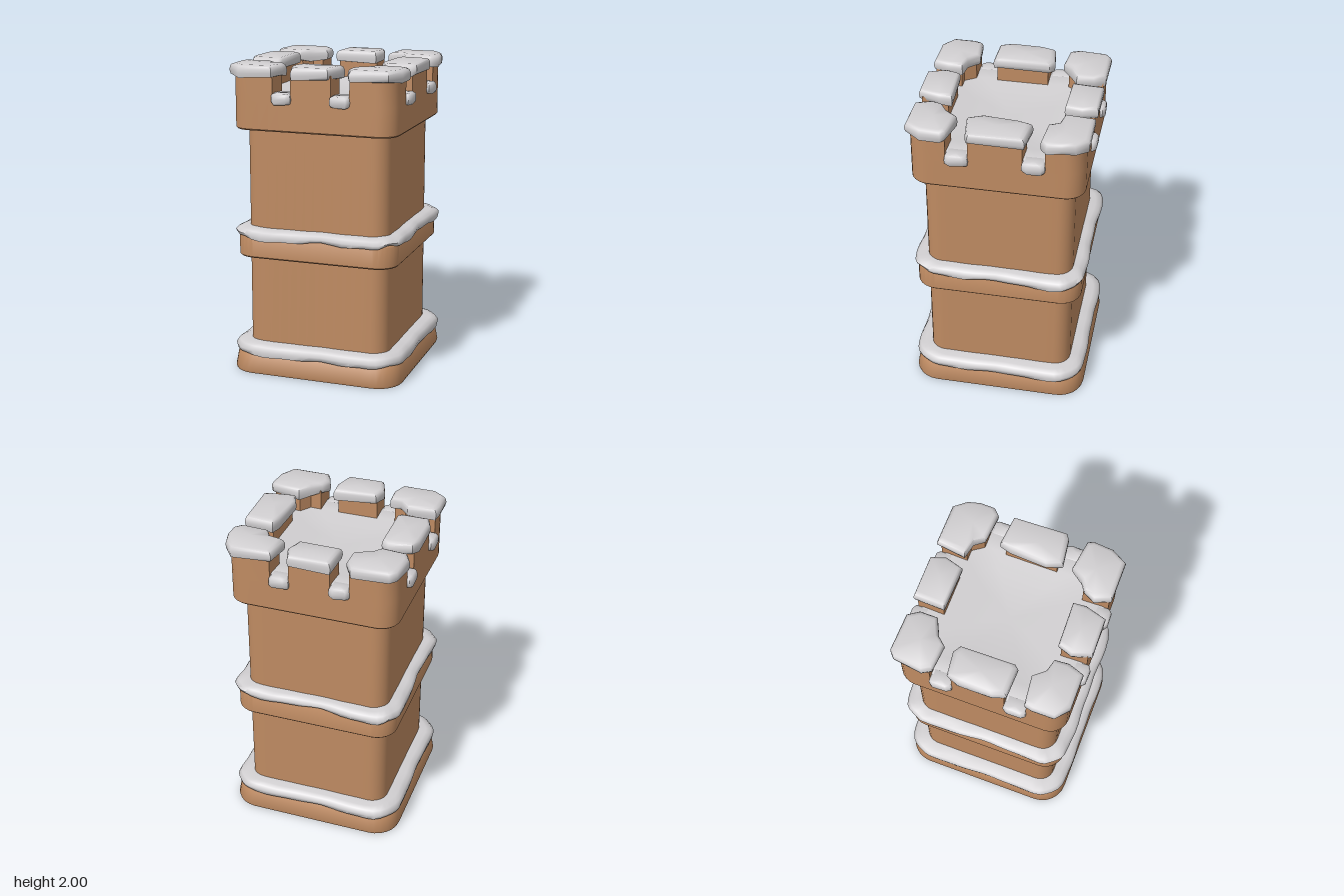
import * as THREE from 'three';
import { toCreasedNormals } from 'three/addons/utils/BufferGeometryUtils.js';

const stone = new THREE.MeshStandardMaterial({ color: 0xbf8b62 });
stone.name = 'brown stone';
const snow = new THREE.MeshStandardMaterial({ color: 0xd1cfd1 });
snow.name = 'grey snow';
const underside = new THREE.MeshStandardMaterial({ color: 0xacacac });
underside.name = 'grey underside';

// Skin a stack of equal-length rings of [x, y, z]; profiles run from below, outwards, then up and in.
function loft(rings, crease) {
  const n = rings[0].length, pos = [], idx = [];
  rings.forEach(r => r.forEach(p => pos.push(...p)));
  for (let j = 0; j < rings.length - 1; j++) {
    for (let i = 0; i < n; i++) {
      const a = j * n + i, b = j * n + (i + 1) % n;
      idx.push(a, a + n, b, b, a + n, b + n);
    }
  }
  const g = new THREE.BufferGeometry();
  g.setAttribute('position', new THREE.Float32BufferAttribute(pos, 3));
  g.setIndex(idx);
  return toCreasedNormals(g, crease);
}

// Horizontal rounded square with straight sides subdivided
function roundedSquare(h, r, y, wobble = () => [0, 0]) {
  const out = [], arc = 6, side = 12, c = h - r;
  for (let q = 0; q < 4; q++) {
    const spin = q * Math.PI / 2, cs = Math.cos(spin), sn = Math.sin(spin);
    const add = (x, z) => {
      const [dr, dy] = wobble(out.length);
      const s = h > 0 ? 1 + dr / h : 1;
      out.push([(x * cs - z * sn) * s, y + dy, (x * sn + z * cs) * s]);
    };
    for (let i = 0; i < side; i++) add(h, c * (-1 + 2 * i / side));
    for (let i = 0; i < arc; i++) {
      const a = i / arc * Math.PI / 2;
      add(c + r * Math.cos(a), c + r * Math.sin(a));
    }
  }
  return out;
}

// Rows are [half width, corner radius, y]
const squareLoft = (rows, crease = 0.6) => loft(rows.map(([h, r, y]) => roundedSquare(h, r, y)), crease);

// Uneven snow ledge around the tower
function snowLedge(bottom, top, half, r, rough) {
  const wave = (i, k) => Math.sin(i * 0.7 + k) * 0.5 + Math.sin(i * 1.57 + k * 2.3) * 0.35 + Math.sin(i * 0.262 + k) * 0.4;
  const rows = [
    [0.45, 0.1, bottom + 0.02, 0, 0],
    [half - 0.035, r, bottom + 0.005, 0.003, 0.008],
    [half - 0.006, r, bottom + 0.012, 0.006, 0.012],
    [half, r, (bottom + top) / 2, 0.006, 0.006],
    [half - 0.015, r, top - 0.014, 0.007, 0.004],
    [half - 0.045, r, top - 0.002, 0.006, 0.003],
    [0.45, 0.1, top, 0, 0.002],
  ];
  return loft(rows.map(([h, rad, y, a, b]) =>
    roundedSquare(h, rad, y, i => [a * rough * wave(i, 1), b * rough * wave(i, 4)])), 1.2);
}

// Soft snow lump from a flat outline of [x, z]; rows are [scale, y, sag]
function snowLump(outline, rows) {
  const n = outline.length;
  let area = 0, cx = 0, cz = 0;
  outline.forEach(([x, z], i) => {
    const [u, v] = outline[(i + 1) % n];
    area += x * v - u * z;
    cx += x / n;
    cz += z / n;
  });
  const pts = area > 0 ? outline : [...outline].reverse();
  return loft(rows.map(([s, y, sag]) => pts.map(([x, z], i) =>
    [cx + (x - cx) * s, y + sag * Math.sin(i * 2.1 + cx * 9 + cz * 5), cz + (z - cz) * s])), 0.95);
}

export function createModel() {
  const model = new THREE.Group();
  model.name = 'snowyTower';
  const add = (name, geometry, material) => {
    const m = new THREE.Mesh(geometry, material);
    m.name = name;
    model.add(m);
  };

  // Foot with a thin rim around a recessed underside
  add('base', squareLoft([
    [0.465, 0.1, 0.07], [0.54, 0.15, 0.045], [0.55, 0.155, 0], [0.562, 0.16, 0], [0.568, 0.17, 0.015],
    [0.55, 0.16, 0.12], [0.535, 0.15, 0.14], [0.45, 0.1, 0.14],
  ]), stone);
  add('underside', squareLoft([[0, 0, 0.07], [0.466, 0.1, 0.07]]), underside);

  // Shaft, middle band and crown
  add('shaft', squareLoft([[0.468, 0.1, 0.1], [0.468, 0.1, 1.6]]), stone);
  add('middleBand', squareLoft([
    [0.45, 0.1, 0.765], [0.522, 0.125, 0.765], [0.53, 0.13, 0.774], [0.53, 0.13, 0.905], [0.52, 0.12, 0.92], [0.45, 0.1, 0.92],
  ]), stone);
  add('crown', squareLoft([
    [0.45, 0.1, 1.588], [0.527, 0.115, 1.588], [0.535, 0.12, 1.597], [0.535, 0.12, 1.77], [0, 0, 1.77],
  ]), stone);

  // Merlons: four bent corners and four straight blocks
  const merlon = (name, points) => {
    const shape = new THREE.Shape(points.map(p => new THREE.Vector2(...p)));
    const g = new THREE.ExtrudeGeometry(shape, { depth: 0.18, bevelEnabled: false });
    g.rotateX(-Math.PI / 2).translate(0, 1.77, 0);
    add(name, toCreasedNormals(g, 0.6), stone);
  };
  const corner = [[0.25, 0.37], [0.32, 0.37], [0.37, 0.3], [0.535, 0.3]];
  for (let i = 0; i <= 6; i++) {
    const a = i / 6 * Math.PI / 2;
    corner.push([0.415 + 0.12 * Math.cos(a), 0.415 + 0.12 * Math.sin(a)]);
  }
  corner.push([0.25, 0.535]);
  const block = (x0, x1, z0, z1) => [[x0, z0], [x1, z0], [x1, z1], [x0, z1]];
  for (const sx of [-1, 1]) {
    for (const sz of [-1, 1]) merlon('cornerMerlon', corner.map(([x, z]) => [x * sx, z * sz]));
    merlon('sideMerlon', block(0.37 * sx, 0.535 * sx, -0.165, 0.165));
    merlon('endMerlon', block(-0.13, 0.13, 0.37 * sx, 0.535 * sx));
  }

  // Snow on the ledges and on the roof
  add('baseSnow', snowLedge(0.115, 0.197, 0.566, 0.17, 1), snow);
  add('bandSnow', snowLedge(0.888, 0.958, 0.55, 0.14, 1.6), snow);
  add('roofSnow', squareLoft([
    [0.52, 0.12, 1.772], [0.53, 0.12, 1.815], [0.5, 0.12, 1.829], [0.38, 0.12, 1.82], [0.28, 0.1, 1.803], [0, 0, 1.798],
  ], 1), snow);

  // Snow drooping over the edge in the eight gaps
  const gapRows = [[0, 1.772, 0], [0.85, 1.762, 0.004], [0.98, 1.772, 0.006], [1, 1.795, 0.004], [0.95, 1.818, 0.003], [0.75, 1.83, 0], [0, 1.834, 0]];
  const endGap = [[0.126, 0.46], [0.254, 0.46], [0.254, 0.545], [0.235, 0.565], [0.155, 0.568], [0.126, 0.55]];
  const sideGap = [[0.46, 0.161], [0.46, 0.304], [0.55, 0.304], [0.567, 0.28], [0.567, 0.19], [0.55, 0.161]];
  for (const sx of [-1, 1]) {
    for (const sz of [-1, 1]) {
      for (const gap of [endGap, sideGap]) {
        add('gapSnow', snowLump(gap.map(([x, z]) => [x * sx, z * sz]), gapRows), snow);
      }
    }
  }

  // Snow caps on the merlons
  const capRows = [[0, 1.94, 0], [0.9, 1.922, 0.006], [0.97, 1.924, 0.01], [1, 1.948, 0.006], [0.99, 1.97, 0.004], [0.94, 1.987, 0.002], [0.82, 1.996, 0], [0, 2, 0]];
  const caps = {
    backRightCap: [[-0.54, -0.52], [-0.5, -0.555], [-0.26, -0.55], [-0.215, -0.48], [-0.215, -0.37], [-0.32, -0.32], [-0.37, -0.265], [-0.53, -0.28], [-0.56, -0.34]],
    backCap: [[-0.14, -0.555], [0.13, -0.555], [0.16, -0.46], [0.13, -0.35], [-0.15, -0.355]],
    backLeftCap: [[0.23, -0.555], [0.49, -0.555], [0.55, -0.48], [0.57, -0.4], [0.57, -0.31], [0.53, -0.27], [0.35, -0.285], [0.31, -0.35], [0.21, -0.37]],
    rightCap: [[-0.53, -0.19], [-0.38, -0.21], [-0.335, -0.18], [-0.33, 0.16], [-0.35, 0.185], [-0.53, 0.18], [-0.56, 0.1], [-0.555, -0.12]],
    leftCap: [[0.36, -0.2], [0.55, -0.18], [0.56, 0.16], [0.53, 0.18], [0.36, 0.205], [0.32, 0.11], [0.34, -0.13]],
    frontRightCap: [[-0.54, 0.29], [-0.36, 0.27], [-0.3, 0.34], [-0.22, 0.36], [-0.215, 0.45], [-0.25, 0.55], [-0.47, 0.55], [-0.555, 0.48], [-0.555, 0.34]],
    frontCap: [[-0.13, 0.35], [0.155, 0.34], [0.16, 0.42], [0.12, 0.555], [-0.12, 0.56], [-0.16, 0.44]],
    frontLeftCap: [[0.36, 0.26], [0.55, 0.29], [0.57, 0.32], [0.56, 0.45], [0.5, 0.55], [0.25, 0.55], [0.21, 0.45], [0.24, 0.38], [0.3, 0.34]],
  };
  for (const [name, outline] of Object.entries(caps)) add(name, snowLump(outline, capRows), snow);

  return model;
}
